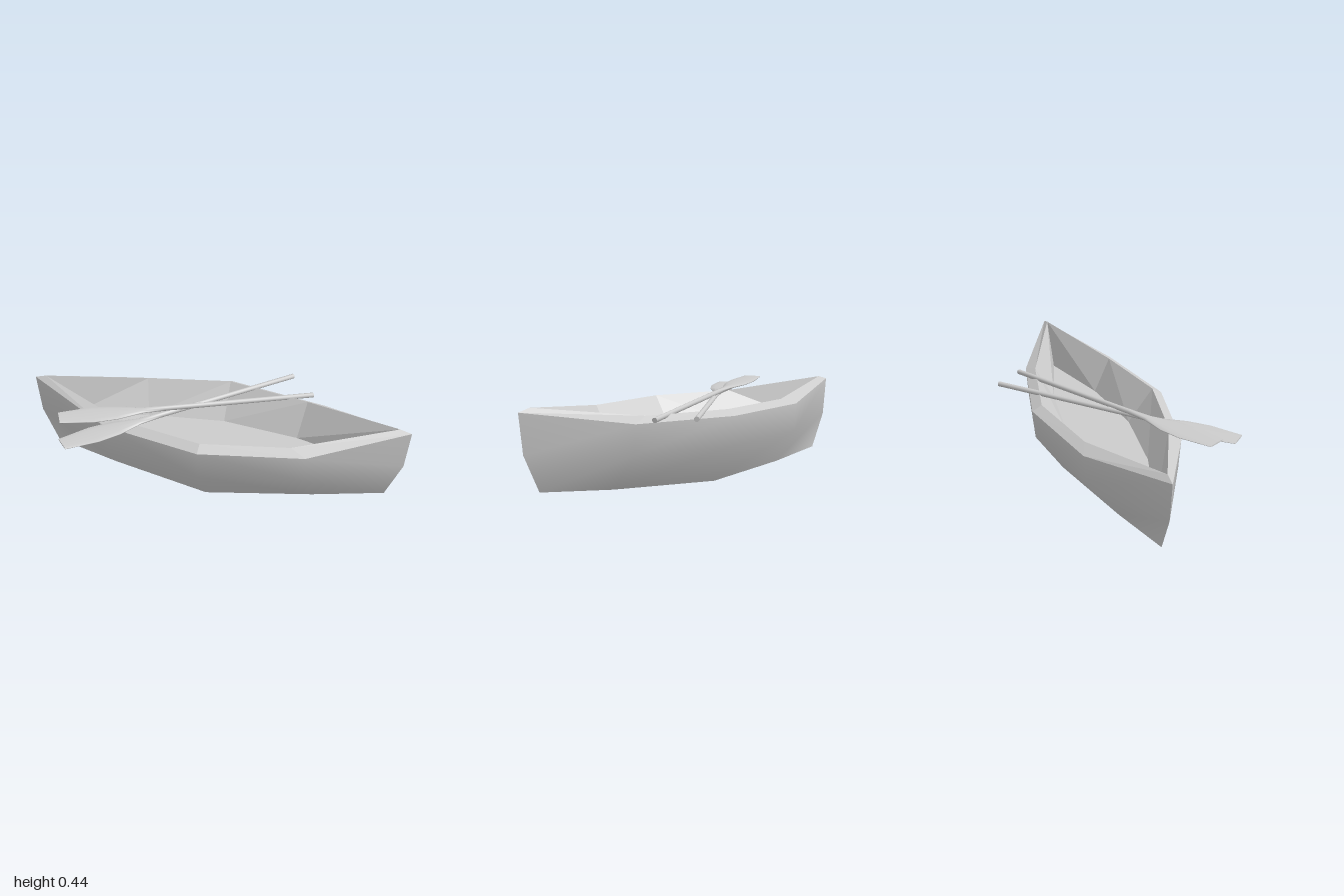
import * as THREE from 'three';

const timber = new THREE.MeshStandardMaterial({ color: 0xcccccc });
timber.name = 'timber grey';
const CENTRE_Z = -0.04;

// Half-breadth lines of the hull: [x, y, half breadth] at midship, quarter and tip
const LINES = {
  floorMiddle: [[0, 0.21, 0], [0.41, 0.21, 0], [0.82, 0.21, 0]],
  floorEdge: [[0, 0.21, 0.17], [0.41, 0.21, 0.12], [0.82, 0.21, 0]],
  rimInner: [[0, 0.383, 0.30], [0.44, 0.383, 0.213], [0.94, 0.444, 0]],
  rimOuter: [[0, 0.355, 0.35], [0.52, 0.355, 0.246], [1, 0.427, 0]],
  chine: [[0, 0.205, 0.337], [0.52, 0.205, 0.235], [0.98, 0.225, 0]],
  bottomEdge: [[0, 0, 0.195], [0.54, 0.013, 0.08], [0.9, 0.038, 0]],
  keel: [[0, 0, 0], [0.54, 0.013, 0], [0.9, 0.038, 0]],
};

// Mirror a line end to end, on the given side of the boat
function station(name, side) {
  const [mid, quarter, tip] = LINES[name];
  const flip = ([x, y, w]) => [-x, y, w];
  return [flip(tip), flip(quarter), mid, quarter, tip]
    .map(([x, y, w]) => [x, y, CENTRE_Z + side * w]);
}

// Skin between successive lines, for one side
function skin(names, side, flat) {
  const rows = names.map((n) => station(n, side));
  const index = [];
  for (let r = 0; r < rows.length - 1; r++) {
    for (let i = 0; i < 4; i++) {
      const a = r * 5 + i, b = a + 5, c = b + 1, d = a + 1;
      if (side > 0) index.push(a, b, c, a, c, d);
      else index.push(a, c, b, a, d, c);
    }
  }
  let g = new THREE.BufferGeometry();
  g.setAttribute('position', new THREE.Float32BufferAttribute(rows.flat(2), 3));
  g.setIndex(index);
  if (flat) g = g.toNonIndexed();
  g.computeVertexNormals();
  return g;
}

// Oar running along +z from the handle: [z, half width, half thickness]
const OAR = [
  [0, 0.013, 0.013], [0.8, 0.013, 0.013], [0.92, 0.024, 0.01], [1.05, 0.062, 0.007],
  [1.17, 0.072, 0.006], [1.34, 0.05, 0.004],
];

function oarGeometry() {
  const g = new THREE.CylinderGeometry(1, 1, 1, 10, OAR.length - 1);
  g.rotateX(Math.PI / 2);
  const p = g.attributes.position;
  for (let i = 0; i < p.count; i++) {
    const k = Math.round((p.getZ(i) + 0.5) * (OAR.length - 1));
    const [z, w, t] = OAR[k];
    p.setXYZ(i, p.getX(i) * w, p.getY(i) * t, z);
  }
  g.computeVertexNormals();
  return g;
}

export function createModel() {
  const model = new THREE.Group();
  model.name = 'rowingBoat';

  // Hull, half by half
  const parts = [
    ['floor', ['floorMiddle', 'floorEdge'], true],
    ['innerWall', ['floorEdge', 'rimInner'], true],
    ['gunwale', ['rimInner', 'rimOuter'], true],
    ['outerHull', ['rimOuter', 'chine', 'bottomEdge'], false],
    ['hullBottom', ['bottomEdge', 'keel'], true],
  ];
  for (const side of [1, -1]) {
    const half = new THREE.Group();
    half.name = side > 0 ? 'frontHalf' : 'backHalf';
    for (const [name, lines, flat] of parts) {
      const mesh = new THREE.Mesh(skin(lines, side, flat), timber);
      mesh.name = name;
      half.add(mesh);
    }
    model.add(half);
  }

  // Two crossed oars, from handle to blade tip
  const geometry = oarGeometry();
  const oars = [
    ['lowerOar', [0.315, 0.384, -0.485], [-0.655, 0.382, 0.445]],
    ['upperOar', [0.452, 0.374, -0.342], [-0.725, 0.427, 0.292]],
  ];
  for (const [name, handle, tip] of oars) {
    const oar = new THREE.Mesh(geometry, timber);
    oar.name = name;
    oar.position.set(...handle);
    oar.lookAt(...tip);
    model.add(oar);
  }
  return model;
}
